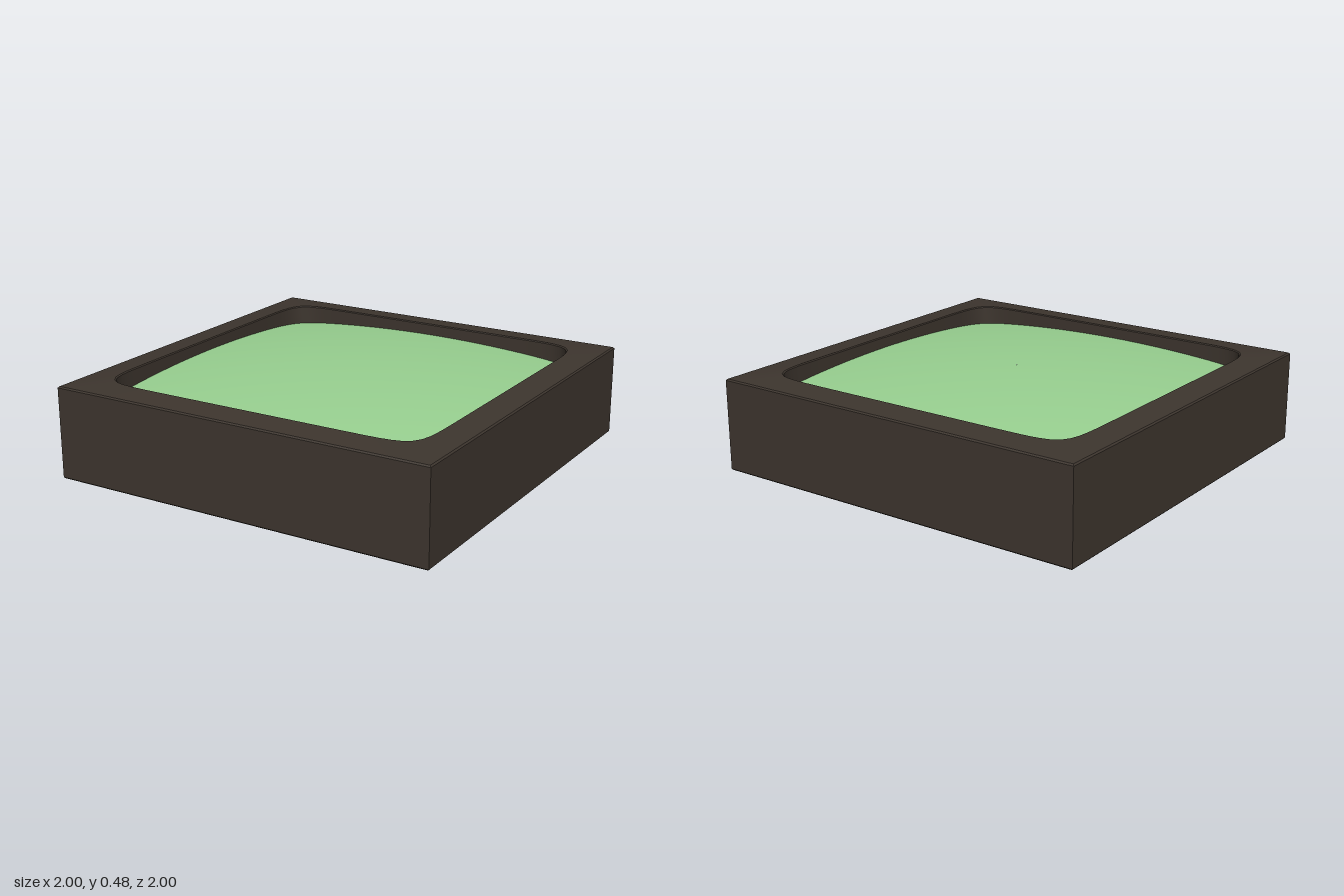
import * as THREE from 'three';
import { toCreasedNormals } from 'three/addons/utils/BufferGeometryUtils.js';

const SEGMENTS = 160; // multiple of 8, so the square corners are hit exactly
const OPENING = 0.85;

// Rounded-square outline of the opening
function opening(angle, y, scale = 1) {
  const c = Math.cos(angle), s = Math.sin(angle), n = 13;
  const r = scale * OPENING / Math.pow(Math.abs(c) ** n + Math.abs(s) ** n, 1 / n);
  return [r * c, y, r * s];
}

// Sharp square outline of the casing
function square(angle, y, half) {
  const c = Math.cos(angle), s = Math.sin(angle);
  const r = half / Math.max(Math.abs(c), Math.abs(s));
  return [r * c, y, r * s];
}

// Skin a list of ring functions; rings run from the inside outwards
function loft(rings) {
  const position = [], index = [], row = SEGMENTS + 1;
  for (const ring of rings) {
    for (let j = 0; j <= SEGMENTS; j++) position.push(...ring((j / SEGMENTS) * Math.PI * 2));
  }
  for (let i = 0; i < rings.length - 1; i++) {
    for (let j = 0; j < SEGMENTS; j++) {
      const a = i * row + j, b = a + 1, c = a + row, d = c + 1;
      index.push(a, b, c, b, d, c);
    }
  }
  const geometry = new THREE.BufferGeometry();
  geometry.setAttribute('position', new THREE.Float32BufferAttribute(position, 3));
  geometry.setIndex(index);
  return toCreasedNormals(geometry, 0.5);
}

function addPart(group, name, geometry, color) {
  const mesh = new THREE.Mesh(geometry, new THREE.MeshStandardMaterial({ color }));
  mesh.name = name;
  group.add(mesh);
}

export function createModel() {
  const group = new THREE.Group();
  group.name = 'framedPanel';

  // Casing: recess wall, gently sloping rim, outer sides with a tiny bevel, underside
  addPart(group, 'casing', loft([
    (a) => opening(a, 0.3),
    (a) => opening(a, 0.475),
    (a) => opening(a, 0.48, 1.006),
    (a) => square(a, 0.467, 0.993),
    (a) => square(a, 0.46, 1),
    (a) => square(a, 0.007, 1),
    (a) => square(a, 0, 0.993),
    (a) => square(a, 0, 0.001),
  ]), 0x3d352e);

  // Domed panel set into the recess, lowest in its corners
  const steps = 16;
  const domeRings = [];
  for (let i = 0; i <= steps; i++) {
    domeRings.push((a) => {
      const [x, , z] = opening(a, 0, Math.max(i / steps, 0.001));
      return [x, 0.47 - 0.068 * (x * x + z * z), z];
    });
  }
  addPart(group, 'domedPanel', loft(domeRings), 0x98d090);

  return group;
}
